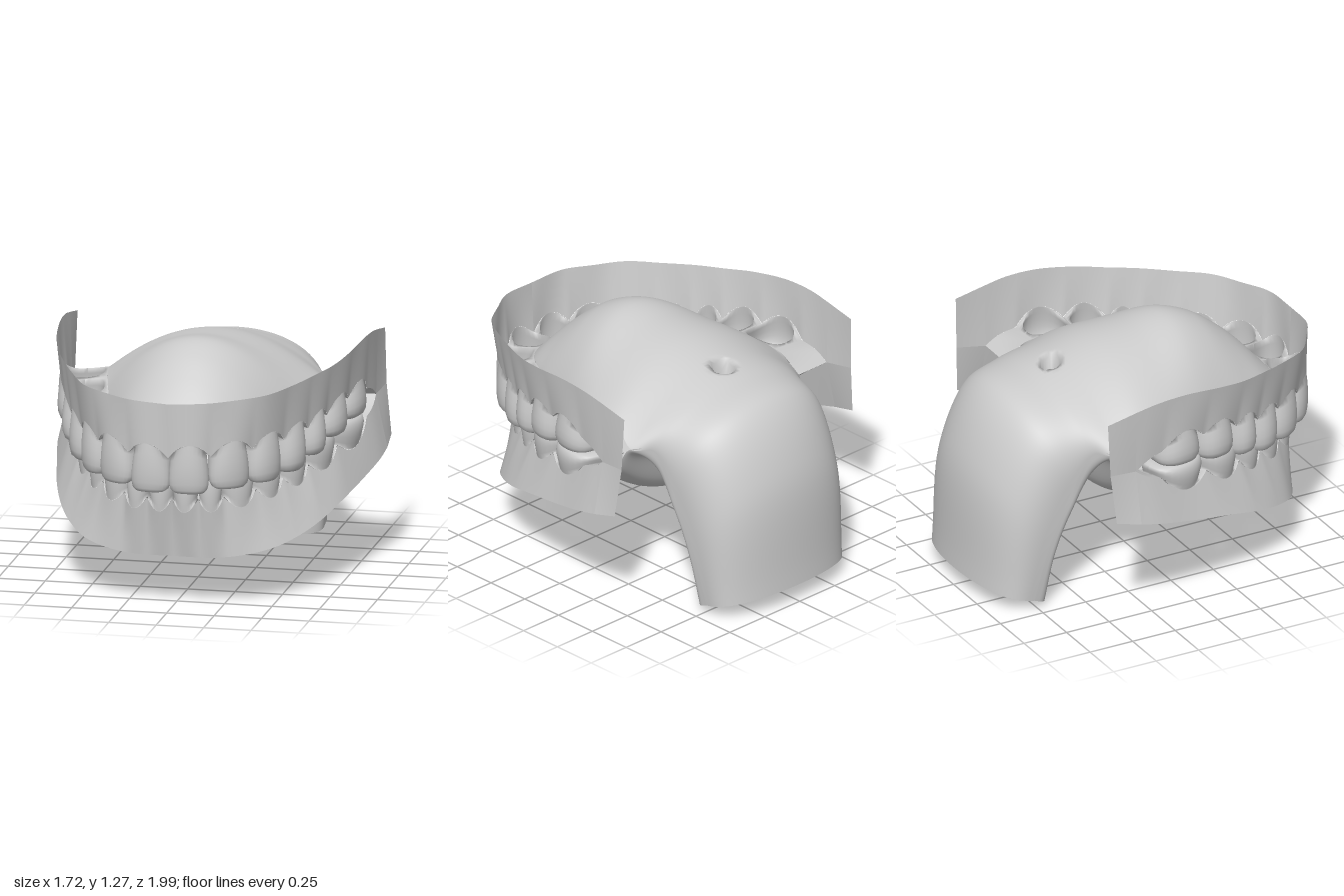
import * as THREE from 'three';
import { ParametricGeometry } from 'three/addons/geometries/ParametricGeometry.js';

const { lerp, smoothstep } = THREE.MathUtils;
const V = (x, y, z) => new THREE.Vector3(x, y, z);
const spline = (pts) => new THREE.CatmullRomCurve3(pts.map((p) => (p.isVector3 ? p : V(...p))));
const corner = [0.8, 0.86, -0.37]; // where the two gum lines meet behind the teeth

// Gum lines run from the front centre to the corner on the +x side.
// Teeth: end of each tooth along the gum line, tip height, taper towards the tip.
const upper = {
  root: 1,
  line: spline([[0, 0.85, 0.98], [0.2, 0.86, 0.95], [0.33, 0.87, 0.875], [0.44, 0.88, 0.77], [0.54, 0.89, 0.62],
    [0.63, 0.91, 0.45], [0.69, 0.94, 0.3], [0.74, 0.97, 0.14], [0.78, 0.98, -0.08], [0.8, 0.95, -0.25], corner]),
  rim: spline([[0, 1.105, 0.985], [0.2, 1.115, 0.965], [0.34, 1.12, 0.885], [0.48, 1.13, 0.785], [0.58, 1.145, 0.62],
    [0.665, 1.165, 0.45], [0.725, 1.18, 0.3], [0.77, 1.205, 0.14], [0.8, 1.23, -0.08], [0.81, 1.225, -0.25],
    [0.81, 1.205, -0.37]]),
  backRim: V(0.81, 1.17, -0.54),
  width: [0.18, 0.23],
  teeth: [[0.127, 0.63, 0.6], [0.264, 0.65, 0.55], [0.39, 0.655, 0.4], [0.5, 0.67, 0.15],
    [0.6, 0.72, 0.12], [0.735, 0.775, 0.1], [0.885, 0.815, 0.1]],
};
const lower = {
  root: -1,
  line: spline([[0, 0.54, 0.88], [0.18, 0.545, 0.86], [0.31, 0.555, 0.79], [0.42, 0.57, 0.68], [0.52, 0.59, 0.52],
    [0.61, 0.62, 0.35], [0.69, 0.66, 0.16], [0.76, 0.7, -0.08], [0.8, 0.76, -0.25], corner]),
  rim: spline([[0, 0.26, 0.83], [0.2, 0.26, 0.825], [0.36, 0.275, 0.79], [0.5, 0.3, 0.7], [0.6, 0.335, 0.57],
    [0.68, 0.38, 0.42], [0.75, 0.44, 0.22], [0.81, 0.5, -0.05], [0.85, 0.55, -0.25], [0.86, 0.58, -0.37]]),
  backRim: V(0.85, 0.615, -0.51),
  width: [0.13, 0.23],
  teeth: [[0.08, 0.7, 0.55], [0.165, 0.7, 0.55], [0.28, 0.715, 0.4], [0.4, 0.73, 0.15],
    [0.52, 0.755, 0.12], [0.68, 0.795, 0.1], [0.88, 0.815, 0.1]],
};

const material = new THREE.MeshStandardMaterial({ color: 0xcccccc, side: THREE.DoubleSide });

// Mesh from a rule (u, v) -> point
function sheet(name, rule, nu, nv) {
  const geo = new ParametricGeometry((u, v, out) => out.copy(rule(u, v)), nu, nv);
  geo.computeVertexNormals();
  const mesh = new THREE.Mesh(geo, material);
  mesh.name = name;
  return mesh;
}

// 0 between two teeth, 1 at the middle of a tooth, rising to 0.5 behind the last one
function toothMiddle(jaw, t) {
  let start = 0;
  for (const [end] of jaw.teeth) {
    if (t <= end) return 1 - ((2 * (t - start)) / (end - start) - 1) ** 2;
    start = end;
  }
  return 0.5 * smoothstep(t, start, 1);
}

// Point on the scalloped tooth ledge: t along the gum line, k from outer (0) to inner (1)
function ledge(jaw, t, k) {
  t = Math.min(Math.max(t, 0), 1);
  const p = jaw.line.getPointAt(t), d = jaw.line.getTangentAt(t);
  const n = V(d.z, 0, -d.x).normalize();
  const w = lerp(...jaw.width, smoothstep(t, 0.2, 0.65)) - 0.03 * smoothstep(t, 0.85, 1);
  const swell = (toothMiddle(jaw, t) - 0.5) * Math.max(0, 1 - k);
  p.addScaledVector(n, w * k - 0.02 * swell);
  p.x = Math.max(p.x, 0);
  p.y += jaw.root * 0.07 * swell;
  return p;
}

// Tooth: a hollow cup of rings, each [size, depth], starting at a square cell of the ledge
const rings = [[1, 0], [0.88, 0.02], [0.93, 0.2], [0.98, 0.42], [1, 0.62], [0.97, 0.8],
  [0.88, 0.93], [0.7, 1], [0.4, 0.97], [0, 0.95]];
function tooth(jaw, start, [end, tip, taper]) {
  return sheet('tooth', (u, v) => {
    const i = Math.round(u * (rings.length - 1));
    const [size, depth] = rings[i];
    const c = Math.cos(v * Math.PI * 2), s = Math.sin(v * Math.PI * 2);
    const f = i === 0 ? 1 / Math.max(Math.abs(c), Math.abs(s))
      : (Math.abs(c) ** 3 + Math.abs(s) ** 3) ** (-1 / 3);
    const bulge = i > 0 ? 0.14 * size * Math.min(s, 0) : 0;
    const across = s * f * size * (1 - taper * depth) - taper * depth * 0.9 + bulge;
    const p = ledge(jaw, lerp(start, end, (c * f * size + 1) / 2), (across + 1) / 2);
    p.y = lerp(p.y, tip, depth);
    return p;
  }, rings.length - 1, 32);
}

// One side of a jaw: outer gum, cheek flap, teeth and the ledge behind them
function jawSide(jaw, label) {
  const side = new THREE.Group();
  side.add(sheet(label + 'OuterGum', (u, v) => jaw.rim.getPointAt(u).lerp(ledge(jaw, u, 0), v), 110, 8));
  const flapTop = new THREE.LineCurve3(jaw.rim.getPointAt(1), jaw.backRim);
  const flapEnd = new THREE.LineCurve3(V(...corner), V(0.82, 0.88, -0.53));
  side.add(sheet(label + 'CheekFlap', (u, v) => flapTop.getPoint(u).lerp(flapEnd.getPoint(u), v), 4, 6));
  let start = 0;
  for (const spec of jaw.teeth) {
    side.add(tooth(jaw, start, spec));
    start = spec[0];
  }
  side.add(sheet(label + 'GumEnd', (u, v) => ledge(jaw, lerp(start, 1, u), v), 8, 8));
  return side;
}

// Shared side seam of the throat tube, following on from the inner gum line
const throatSeam = [[0.52, 0.85, -0.46], [0.495, 0.65, -0.58], [0.475, 0.38, -0.69], [0.445, 0.05, -0.77]];

// Arched half of the mouth lining: sections from the side seam over a centre line.
// The powers set how peaked the arch is in the mouth, at its rear and in the throat.
function lining(name, jaw, centre, [front, rear, throat], pit) {
  const seam = [];
  for (let i = 0; i <= 8; i++) seam.push(ledge(jaw, i / 8, 1));
  seam[8].set(0.6, 0.86, -0.37);
  const edge = spline([...seam, ...throatSeam]);
  const mid = spline(centre.map(([z, y]) => V(0, y, z)));
  return sheet(name, (u, v) => {
    const e = edge.getPoint(u), m = mid.getPoint(u);
    const angle = (v - 0.5) * Math.PI;
    const power = lerp(lerp(front, rear, smoothstep(u, 0.25, 0.5)), throat, smoothstep(u, 0.58, 0.85));
    const c = Math.max(Math.cos(angle), 0) ** power;
    const p = V(e.x * Math.sin(angle), lerp(e.y, m.y, c), lerp(e.z, m.z, c));
    // small pit where the soft palate hangs down
    if (pit && p.y > 0.9) p.y -= 0.2 * Math.exp(-(((p.x / 0.045) ** 2 + ((p.z + 0.43) / 0.045) ** 2) ** 2));
    return p;
  }, 130, 64);
}

export function createModel() {
  const model = new THREE.Group();
  model.name = 'mouthInterior';

  for (const [label, jaw] of [['upper', upper], ['lower', lower]]) {
    for (const sign of [1, -1]) {
      const side = jawSide(jaw, label);
      side.name = label + (sign > 0 ? 'LeftJaw' : 'RightJaw');
      side.scale.x = sign;
      model.add(side);
    }
  }

  // Palate running back into the rear throat wall
  model.add(lining('palateAndThroatBack', upper, [[0.8, 0.85], [0.74, 0.92], [0.65, 1.02], [0.53, 1.13],
    [0.4, 1.22], [0.25, 1.268], [0.05, 1.245], [-0.17, 1.22], [-0.37, 1.17],
    [-0.55, 1.12], [-0.77, 1.05], [-0.95, 0.72], [-1, 0.1]], [1.8, 2.1, 0.7], true));

  // Mouth floor running back into the front throat wall
  model.add(lining('mouthFloorAndThroatFront', lower, [[0.75, 0.54], [0.68, 0.5], [0.57, 0.48], [0.43, 0.46],
    [0.25, 0.41], [0.08, 0.367], [-0.1, 0.38], [-0.27, 0.47], [-0.375, 0.74],
    [-0.44, 0.61], [-0.56, 0.42], [-0.62, 0.24], [-0.645, 0]], [1.2, 1.2, 0.5], false));

  return model;
}
